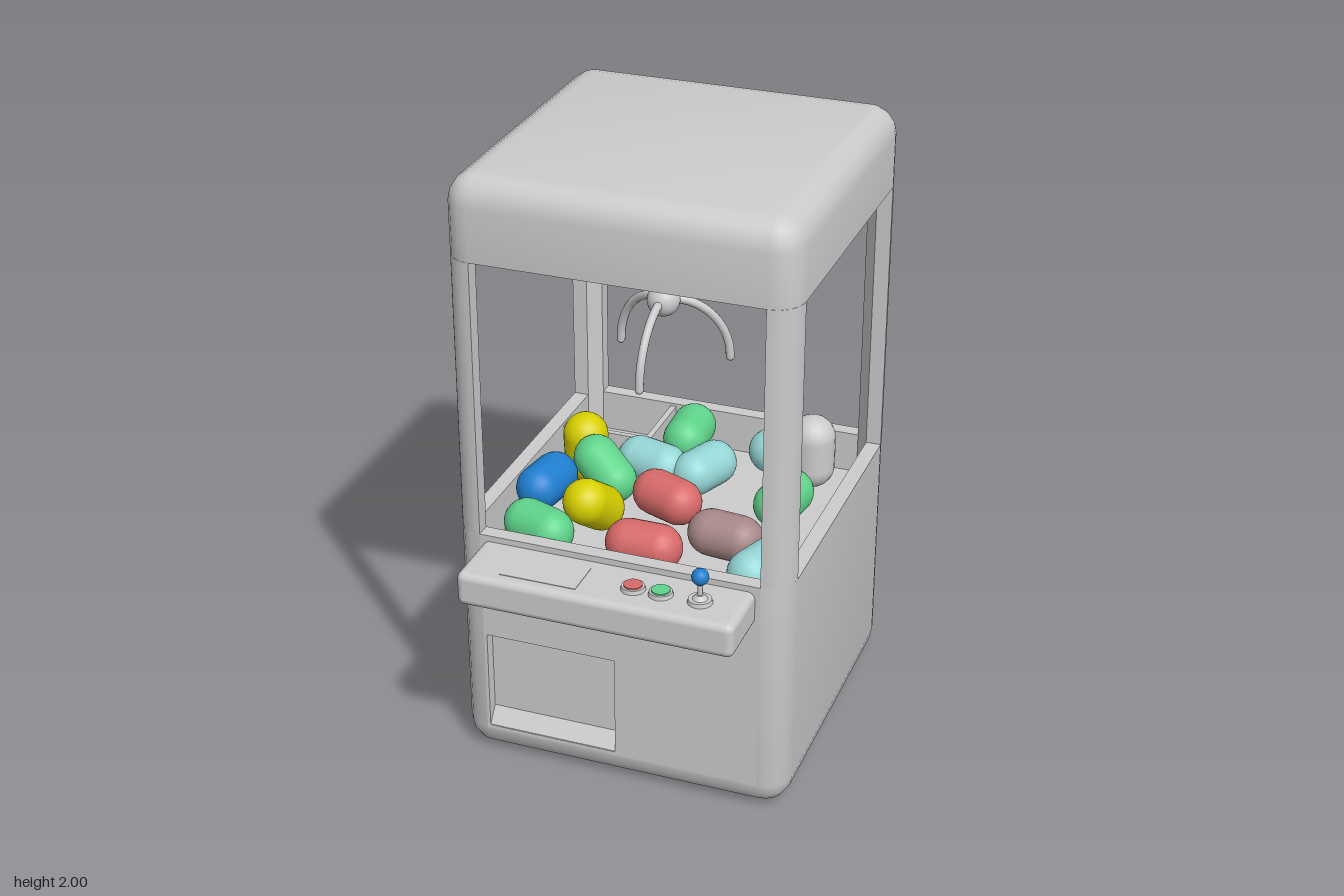
import * as THREE from 'three';
import { toCreasedNormals } from 'three/addons/utils/BufferGeometryUtils.js';
import { RoundedBoxGeometry } from 'three/addons/geometries/RoundedBoxGeometry.js';

const HX = 0.55, HZ = 0.545, CZ = -0.105; // cabinet half sizes and centre
const R = 0.09, N = 4, WALL = 0.05; // corner radius, corner segments, wall thickness
const RIM = 0.82, HOOD = 1.74, TOP = 2;

const paint = (color = 0xcccccc) => new THREE.MeshStandardMaterial({ color });
const grey = paint();

function add(parent, name, geometry, material = grey, x = 0, y = 0, z = 0) {
  const mesh = new THREE.Mesh(geometry, material);
  mesh.name = name;
  mesh.position.set(x, y, z);
  parent.add(mesh);
  return mesh;
}

// Rounded rectangle at height y; chamfered corners for the inside, or collapsed to its centre
function ring(y, inset, { chamfer = 0, centre = false } = {}) {
  const r = chamfer || R - inset, points = [];
  for (let k = 0; k < 4; k++) {
    const sx = k === 0 || k === 3 ? 1 : -1, sz = k < 2 ? 1 : -1;
    for (let i = 0; i <= N; i++) {
      const a = (k + i / N) * Math.PI / 2, a0 = k * Math.PI / 2, a1 = a0 + Math.PI / 2;
      const mix = (f) => chamfer ? THREE.MathUtils.lerp(f(a0), f(a1), i / N) : f(a);
      points.push(centre ? [0, y, CZ] : [
        sx * (HX - inset - r) + r * mix(Math.cos), y,
        CZ + sz * (HZ - inset - r) + r * mix(Math.sin)]);
    }
  }
  return points;
}

// Skin through rings; skip(i, j) leaves a face open
function skin(rings, skip = () => false) {
  const pos = [], count = rings[0].length;
  for (let i = 0; i < rings.length - 1; i++) {
    for (let j = 0; j < count; j++) {
      if (skip(i, j)) continue;
      const k = (j + 1) % count;
      const a = rings[i][j], b = rings[i][k], c = rings[i + 1][k], d = rings[i + 1][j];
      pos.push(...a, ...d, ...c, ...a, ...c, ...b);
    }
  }
  const g = new THREE.BufferGeometry();
  g.setAttribute('position', new THREE.Float32BufferAttribute(pos, 3));
  return toCreasedNormals(g, 0.6);
}

function rectangle(Type, x0, y0, x1, y1) {
  const s = new Type();
  s.moveTo(x0, y0);
  s.lineTo(x1, y0);
  s.lineTo(x1, y1);
  s.lineTo(x0, y1);
  s.closePath();
  return s;
}

function addCabinet(group) {
  const arc = [...Array(N + 1).keys()].map((i) => i / N * Math.PI / 2);

  // Hollow base with a bin; the flat front is left open for the hatch panel
  const baseRings = [
    ring(0, 0, { centre: true }),
    ...arc.map((a) => ring(R * (1 - Math.cos(a)), R * (1 - Math.sin(a)))),
    ring(RIM, 0),
    ring(RIM, WALL, { chamfer: R - WALL }),
    ring(0.68, WALL, { chamfer: R - WALL }),
    ring(0.68, 0, { centre: true }),
  ];
  add(group, 'base', skin(baseRings, (i, j) => i === N + 1 && j === N));

  // Front panel with the prize hatch
  const panel = rectangle(THREE.Shape, -HX + R, R, HX - R, RIM);
  panel.holes.push(rectangle(THREE.Path, -0.45, 0.105, -0.015, 0.45));
  const depth = 0.045, front = CZ + HZ;
  add(group, 'frontPanel', new THREE.ExtrudeGeometry(panel, { depth, bevelEnabled: false }),
    grey, 0, 0, front - depth);
  add(group, 'hatchFlap', new THREE.BoxGeometry(0.45, 0.31, 0.01), grey, -0.2325, 0.305, front - 0.045);
  const sill = add(group, 'hatchSill', new THREE.BoxGeometry(0.435, 0.075, 0.01), grey, -0.2325, 0.13, front - 0.026);
  sill.rotation.x = -0.65;

  // Corner posts
  const shape = new THREE.Shape();
  shape.moveTo(R, 0);
  shape.absarc(0, 0, R, 0, Math.PI / 2, false);
  shape.lineTo(-WALL + 0.01, R);
  shape.lineTo(0, R);
  const post = new THREE.Shape();
  post.moveTo(R, 0);
  post.absarc(0, 0, R, 0, Math.PI / 2, false);
  post.lineTo(0, R - WALL);
  post.lineTo(R - WALL, 0);
  const postGeo = toCreasedNormals(new THREE.ExtrudeGeometry(post,
    { depth: HOOD - RIM, bevelEnabled: false, curveSegments: N }), 0.6);
  postGeo.rotateX(-Math.PI / 2);
  // the turned section fills the (+x, -z) corner; quarter turns give the rest
  [[1, -1], [-1, -1], [-1, 1], [1, 1]].forEach(([sx, sz], i) => {
    const mesh = add(group, 'cornerPost', postGeo, grey, sx * (HX - R), RIM, CZ + sz * (HZ - R));
    mesh.rotation.y = i * Math.PI / 2;
  });

  // Hood
  add(group, 'hood', skin([
    ring(HOOD, 0, { centre: true }),
    ring(HOOD, 0),
    ...arc.map((a) => ring(TOP - R + R * Math.sin(a), R * (1 - Math.cos(a)))),
    ring(TOP, 0, { centre: true }),
  ]));

  // Chute walls in the back corner of the bin
  add(group, 'chuteSideWall', new THREE.BoxGeometry(0.02, 0.13, 0.25), grey, -0.2, 0.745, -0.475);
  add(group, 'chuteFrontWall', new THREE.BoxGeometry(0.31, 0.13, 0.02), grey, -0.345, 0.745, -0.35);
}

function addClaw(group) {
  const claw = new THREE.Group();
  claw.name = 'claw';
  claw.position.set(-0.05, 1.455, -0.1);
  add(claw, 'clawRod', new THREE.CylinderGeometry(0.009, 0.009, 0.29, 12), grey, 0, 0.145, 0);
  add(claw, 'clawHub', new THREE.SphereGeometry(0.053, 24, 16));
  const points = [...Array(9).keys()].map((i) => {
    const a = i / 8 * Math.PI / 2;
    return new THREE.Vector3(0, 0.22 * Math.cos(a) - 0.215, 0.215 * Math.sin(a));
  });
  const arm = new THREE.TubeGeometry(new THREE.CatmullRomCurve3(points), 20, 0.014, 10);
  const tip = new THREE.SphereGeometry(0.014, 10, 8);
  for (let i = 0; i < 3; i++) {
    const finger = add(claw, 'clawArm', arm);
    finger.rotation.y = i * Math.PI * 2 / 3;
    add(finger, 'clawTip', tip, grey, 0, -0.215, 0.215);
  }
  group.add(claw);
}

function addConsole(group) {
  const top = 0.8, z = 0.545;
  add(group, 'console', new RoundedBoxGeometry(0.895, 0.115, 0.23, 4, 0.025), grey, -0.003, 0.7425, 0.535);
  add(group, 'consolePlate', new THREE.BoxGeometry(0.25, 0.004, 0.13), grey, -0.195, top, z);
  const collar = new THREE.CylinderGeometry(0.036, 0.039, 0.014, 24);
  const cap = new THREE.CylinderGeometry(0.029, 0.029, 0.012, 24);
  for (const [x, color] of [[0.092, 0xd86a6a], [0.181, 0x5fd48b]]) {
    add(group, 'buttonCollar', collar, grey, x, top + 0.006, z);
    add(group, 'button', cap, paint(color), x, top + 0.012, z);
  }
  add(group, 'joystickBase', collar, grey, 0.306, top + 0.006, z);
  add(group, 'joystickBoot', new THREE.CylinderGeometry(0.012, 0.024, 0.014, 20), grey, 0.306, top + 0.02, z);
  add(group, 'joystickStick', new THREE.CylinderGeometry(0.008, 0.008, 0.09, 12), grey, 0.306, top + 0.045, z);
  add(group, 'joystickKnob', new THREE.SphereGeometry(0.027, 20, 14), paint(0x1f7fd0), 0.306, 0.888, z);
}

function addPrizes(group) {
  const [Y, B, G, C, P, M] = [0xd8d000, 0x1f7fd0, 0x5fd48b, 0x96d6d6, 0xd86a6a, 0xa88888].map(paint);
  const capsule = new THREE.CapsuleGeometry(0.075, 0.1, 8, 20);
  const up = new THREE.Vector3(0, 1, 0);
  // material, centre, long axis
  const prizes = [
    [Y, [-0.36, 0.825, -0.2], [0, 1, 0.1]],
    [B, [-0.41, 0.8, 0.02], [0.15, 0, -1]],
    [G, [-0.32, 0.8, 0.3], [0.8, 0, 0.3]],
    [Y, [-0.19, 0.83, 0.16], [0.2, -0.6, -0.8]],
    [G, [-0.25, 0.82, -0.09], [0.6, -0.4, 0.3]],
    [C, [-0.13, 0.805, -0.21], [0.95, 0, 0.25]],
    [C, [0.04, 0.8, -0.24], [-0.37, 0, 0.93]],
    [P, [0, 0.81, 0], [0.93, 0, 0.37]],
    [P, [0.03, 0.8, 0.29], [1, 0, 0]],
    [M, [0.25, 0.8, 0.15], [1, 0, 0.1]],
    [C, [0.4, 0.775, 0.25], [-0.35, 0, 0.93]],
    [G, [-0.09, 0.8, -0.46], [0.05, 0, 1]],
    [C, [0.26, 0.8, -0.43], [1, 0, 0]],
    [G, [0.35, 0.805, -0.13], [0.17, 0, -1]],
    [grey, [0.39, 0.9, -0.3], [0, 1, 0]],
  ];
  for (const [material, centre, axis] of prizes) {
    const mesh = add(group, 'prizeCapsule', capsule, material, ...centre);
    mesh.quaternion.setFromUnitVectors(up, new THREE.Vector3(...axis).normalize());
  }
}

export function createModel() {
  const group = new THREE.Group();
  group.name = 'clawMachine';
  addCabinet(group);
  addClaw(group);
  addConsole(group);
  addPrizes(group);
  return group;
}
